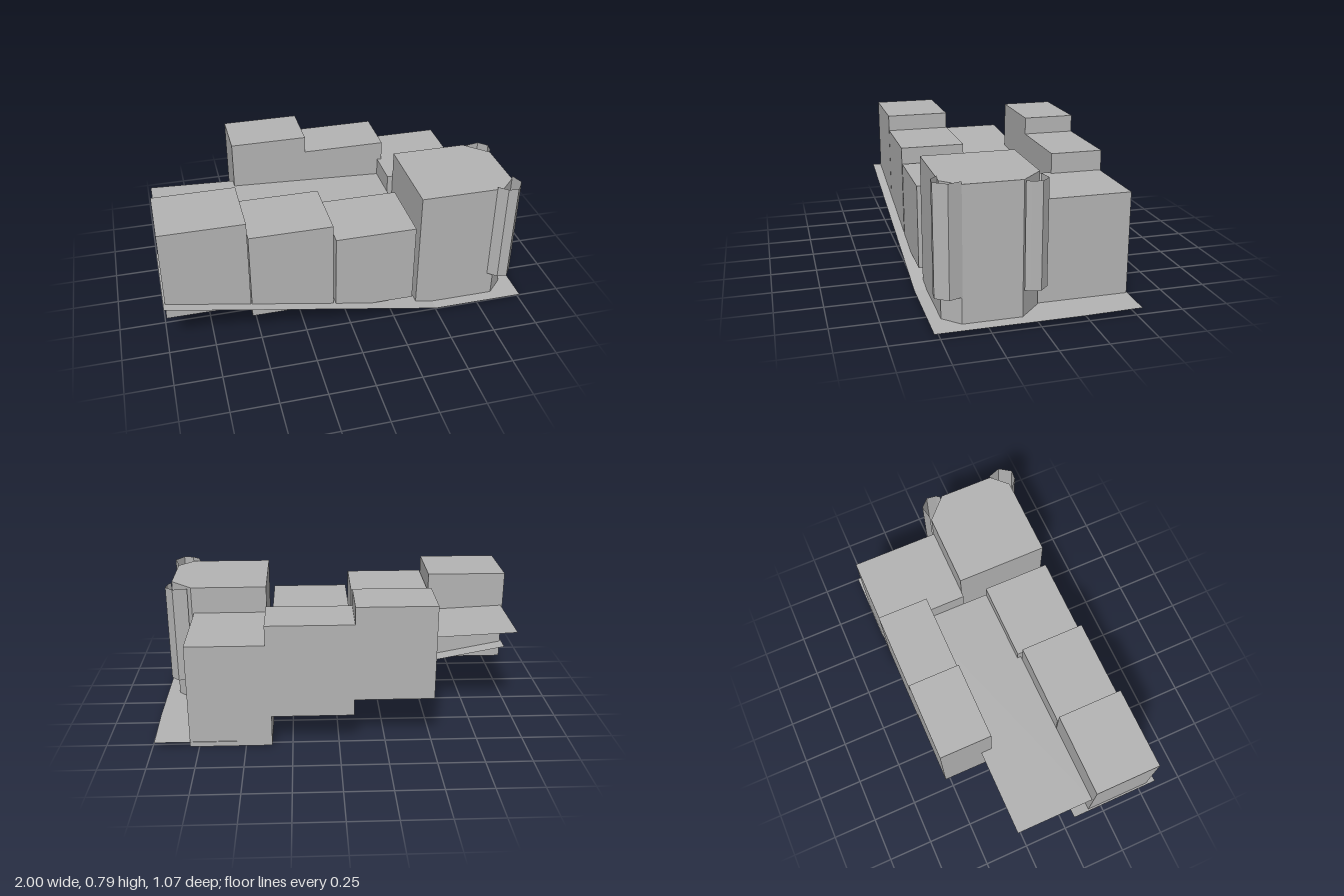
import * as THREE from 'three';

const concrete = new THREE.MeshStandardMaterial({ color: 0xb4b4b4, side: THREE.DoubleSide });
concrete.name = 'plain grey';

// Mesh made of flat convex polygons, each a loop of [x, y, z] corners
function facets(name, polygons) {
  const positions = [];
  for (const p of polygons) {
    for (let i = 1; i < p.length - 1; i++) positions.push(...p[0], ...p[i], ...p[i + 1]);
  }
  const geometry = new THREE.BufferGeometry();
  geometry.setAttribute('position', new THREE.Float32BufferAttribute(positions, 3));
  geometry.computeVertexNormals();
  const mesh = new THREE.Mesh(geometry, concrete);
  mesh.name = name;
  return mesh;
}

// Upright walls between neighbouring [x, z] plan points
function walls(plan, y0, y1, closed) {
  const quads = [];
  const count = closed ? plan.length : plan.length - 1;
  for (let i = 0; i < count; i++) {
    const [ax, az] = plan[i];
    const [bx, bz] = plan[(i + 1) % plan.length];
    quads.push([[ax, y0, az], [bx, y0, bz], [bx, y1, bz], [ax, y1, az]]);
  }
  return quads;
}

// Building with a flat roof and an open underside
function building(name, plan, y0, y1) {
  return facets(name, [...walls(plan, y0, y1, true), plan.map(([x, z]) => [x, y1, z])]);
}

const rectangle = (x0, x1, z0, z1) => [[x0, z1], [x1, z1], [x1, z0], [x0, z0]];

export function createModel() {
  const model = new THREE.Group();
  model.name = 'terracedBuildings';

  // Rectangular blocks: name, x range, z range, y range
  const blocks = [
    ['frontHouseUpper', -0.99, -0.545, 0.12, 0.48, 0.22, 0.74],
    ['frontHouseMiddle', -0.54, -0.095, 0.12, 0.48, 0.145, 0.65],
    ['frontHouseLower', -0.08, 0.36, 0.10, 0.48, 0.10, 0.56],
    ['rearHouseUpper', -0.505, -0.08, -0.535, -0.25, 0.265, 0.785],
    ['rearHouseMiddle', -0.08, 0.385, -0.535, -0.25, 0.175, 0.69],
    ['rearHouseLower', 0.36, 0.80, -0.53, -0.04, 0, 0.58],
  ];
  for (const [name, x0, x1, z0, z1, y0, y1] of blocks) {
    model.add(building(name, rectangle(x0, x1, z0, z1), y0, y1));
  }

  // Corner house with two cut corners
  model.add(building('cornerHouse', [
    [0.39, 0.465], [0.845, 0.465], [0.93, 0.38], [0.93, 0.075], [0.81, -0.04], [0.39, -0.04],
  ], 0, 0.73));

  // Open bay shells wrapped round the cut corners
  const frontBay = [[0.81, 0.465], [0.855, 0.505], [0.91, 0.51], [0.955, 0.445], [0.93, 0.375]];
  const rearBay = [[0.93, 0.067], [0.947, 0.045], [0.955, -0.01], [0.91, -0.055], [0.83, -0.04]];
  model.add(facets('frontCornerBay', walls(frontBay, 0.17, 0.745, false)));
  model.add(facets('rearCornerBay', walls(rearBay, 0.17, 0.725, false)));

  // Street sheet: a slope on the right, level round the corner house
  const level = (points) => points.map(([x, z]) => [x, 0.03, z]);
  model.add(facets('street', [
    [[-1, 0.315, 0.53], [0.49, 0.03, 0.53], [0.49, 0.03, 0.03], [-1, 0.315, 0.03]],
    level(rectangle(0.49, 1, 0.03, 0.53)),
    level([[0.55, 0.03], [1, 0.03], [1, -0.22], [0.99, -0.535], [0.55, -0.535]]),
  ]));

  // Raised terrace sheet between the front and rear rows
  model.add(facets('terrace', [
    [[-0.98, 0.543, 0.12], [0.36, 0.48, 0.12], [0.36, 0.48, -0.31], [-0.98, 0.543, -0.31]],
  ]));

  return model;
}
